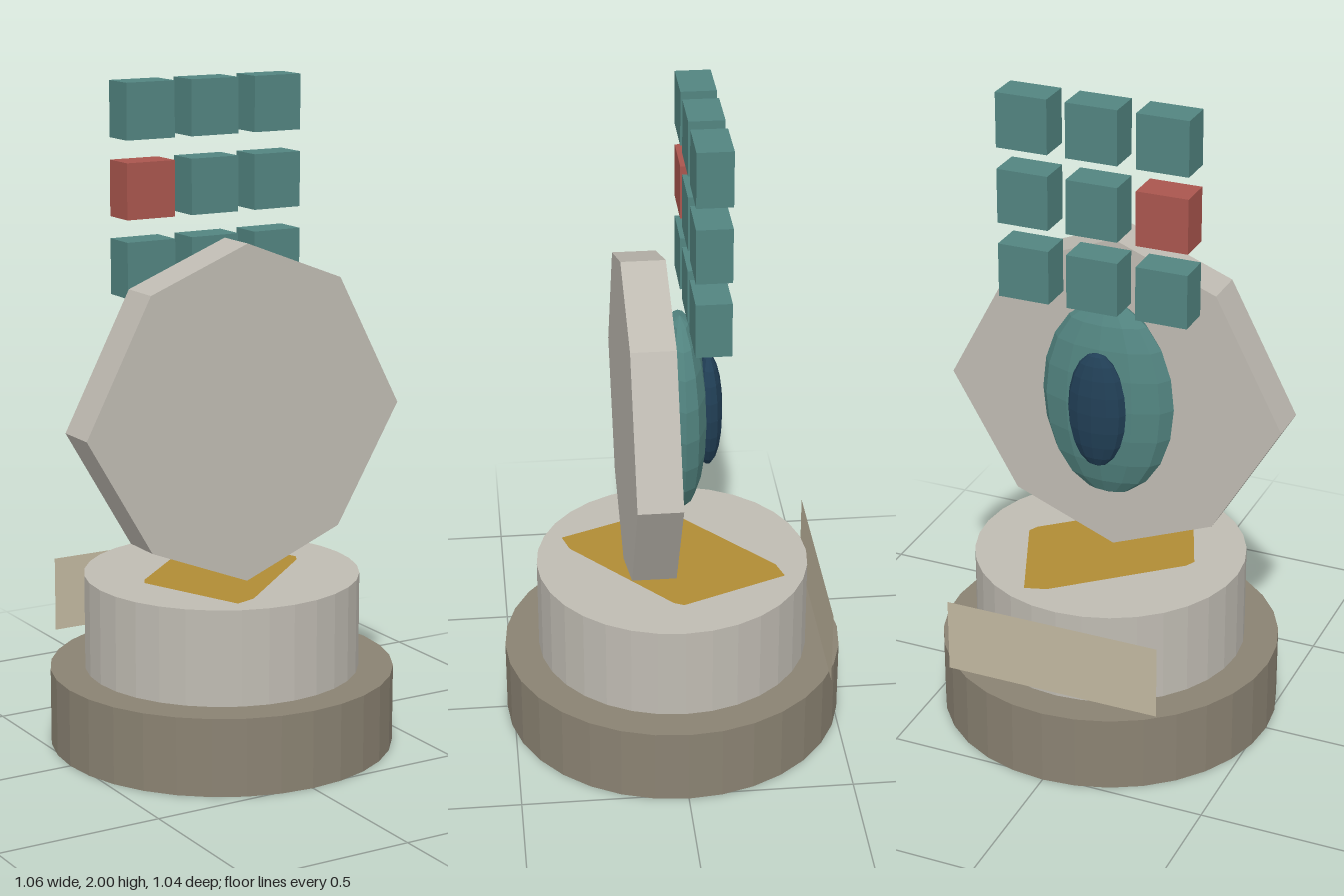
import * as THREE from 'three';

const paint = (name, color, extra = {}) => {
  const m = new THREE.MeshStandardMaterial({ color, flatShading: true, ...extra });
  m.name = name;
  return m;
};

export function createModel() {
  const model = new THREE.Group();
  const stone = paint('pale stone', 0xbfbbb2);
  const earth = paint('brown stone', 0x8a8272);
  const tan = paint('tan', 0xc2b8a0, { side: THREE.DoubleSide });
  const teal = paint('teal', 0x528480);
  const red = paint('red', 0xaa564e);
  const gold = paint('gold', 0xb08c35, { side: THREE.DoubleSide });
  const navy = paint('navy', 0x213f56);

  const add = (name, geometry, material, x = 0, y = 0, z = 0) => {
    const mesh = new THREE.Mesh(geometry, material);
    mesh.name = name;
    mesh.position.set(x, y, z);
    model.add(mesh);
    return mesh;
  };
  const outline = (points) => new THREE.Shape(points.map(([x, y]) => new THREE.Vector2(x, y)));

  // Stepped round pedestal
  add('pedestalBase', new THREE.CylinderGeometry(0.52, 0.52, 0.235, 32), earth, 0, 0.1175, 0);
  add('pedestalDrum', new THREE.CylinderGeometry(0.415, 0.415, 0.29, 32), stone, 0, 0.38, 0);

  // Gold inlay on the drum; shape y becomes -z
  const half = [[0.14, 0.33], [0.075, 0.31], [-0.255, 0.02], [-0.27, -0.01]];
  const inlay = add('goldInlay', new THREE.ShapeGeometry(
    outline([...half, ...half.map(([x, y]) => [-x, -y])])), gold, 0, 0.528, 0);
  inlay.rotation.x = -Math.PI / 2;

  // Thin name plate standing behind the drum
  add('backPlate', new THREE.PlaneGeometry(0.67, 0.23), tan, 0, 0.385, -0.45);

  // Eight-sided upright slab
  const slab = outline([[0, 0.53], [0.32, 0.658], [0.53, 1.015], [0.32, 1.415],
    [0, 1.54], [-0.32, 1.415], [-0.53, 1.015], [-0.32, 0.658]]);
  add('octagonSlab', new THREE.ExtrudeGeometry(slab, { depth: 0.131, bevelEnabled: false }),
    stone, 0, 0, 0.018);

  // Domed boss and its dark centre on the back of the slab
  add('boss', new THREE.SphereGeometry(1, 12, 10), teal, 0, 1.045, -0.022).scale.set(0.21, 0.315, 0.08);
  add('bossCentre', new THREE.SphereGeometry(1, 12, 10), navy, 0, 1.045, -0.105).scale.set(0.092, 0.185, 0.045);

  // Three by three grid of blocks, one of them red
  const block = new THREE.BoxGeometry(0.158, 0.165, 0.104);
  for (let row = 0; row < 3; row++) {
    for (let col = 0; col < 3; col++) {
      const marked = row === 1 && col === 0;
      add(marked ? 'redBlock' : 'tealBlock', block, marked ? red : teal,
        (col - 1) * 0.214, 1.4575 + row * 0.23, -0.089);
    }
  }
  return model;
}
